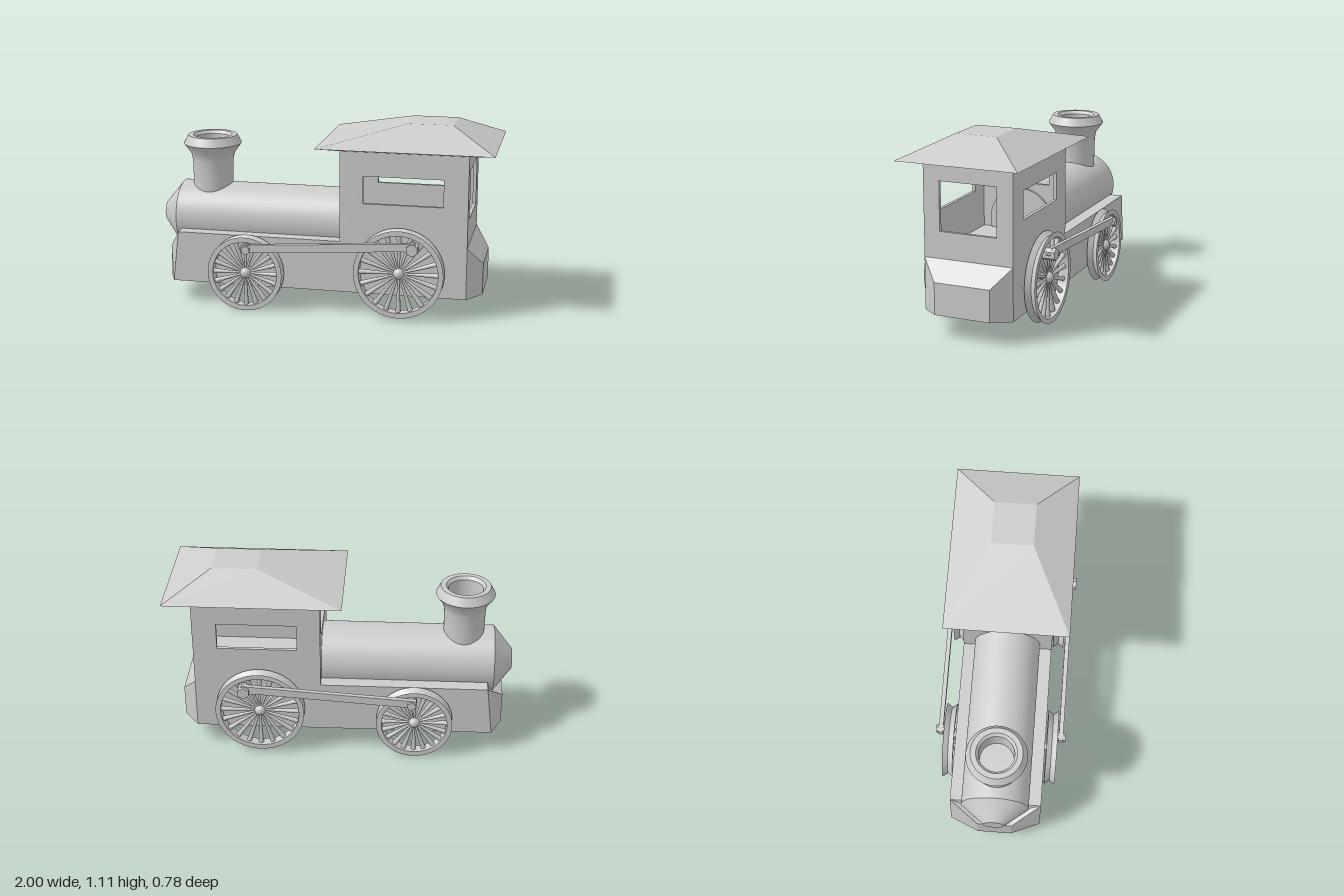
import * as THREE from 'three';
import { toCreasedNormals } from 'three/addons/utils/BufferGeometryUtils.js';

const smooth = new THREE.MeshStandardMaterial({ color: 0xcccccc });
const flat = new THREE.MeshStandardMaterial({ color: 0xcccccc, flatShading: true });

function add(parent, name, geometry, material = smooth, x = 0, y = 0, z = 0) {
  const mesh = new THREE.Mesh(geometry, material);
  mesh.name = name;
  mesh.position.set(x, y, z);
  parent.add(mesh);
  return mesh;
}

// Closed solid through rings of equal point count, with end caps
function loft(rings) {
  const n = rings[0].length, pos = [];
  const tri = (a, b, c) => pos.push(...a, ...b, ...c);
  for (let k = 0; k < rings.length - 1; k++) {
    const a = rings[k], b = rings[k + 1];
    for (let i = 0; i < n; i++) {
      const j = (i + 1) % n;
      tri(a[i], a[j], b[j]);
      tri(a[i], b[j], b[i]);
    }
  }
  const first = rings[0], last = rings[rings.length - 1];
  for (let i = 1; i < n - 1; i++) {
    tri(first[0], first[i + 1], first[i]);
    tri(last[0], last[i], last[i + 1]);
  }
  const g = new THREE.BufferGeometry();
  g.setAttribute('position', new THREE.Float32BufferAttribute(pos, 3));
  g.computeVertexNormals();
  return g;
}

const lathe = (points, segments = 48) => toCreasedNormals(
  new THREE.LatheGeometry(points.map(p => new THREE.Vector2(...p)), segments), 0.55);

// Chassis cross-section: bottom corners, top corners and the middle of the top
const section = (xb, yb, xt, yt, w, xm, ym, wm) => [
  [xb, yb, w], [xb, yb, -w], [xt, yt, -w], [xm, ym, -wm], [xm, ym, wm], [xt, yt, w]];

// Wall panel with a window, given as [x0, y0, x1, y1]
function wall([x0, y0, x1, y1], [a0, b0, a1, b1], depth) {
  const corners = (p, q, r, s) => [[p, q], [r, q], [r, s], [p, s]].map(c => new THREE.Vector2(...c));
  const shape = new THREE.Shape(corners(x0, y0, x1, y1));
  shape.holes.push(new THREE.Path(corners(a0, b0, a1, b1)));
  return new THREE.ExtrudeGeometry(shape, { depth, bevelEnabled: false });
}

// Spoked wheel with a grooved rim, axis along z
function wheel(name, r) {
  const group = new THREE.Group();
  group.name = name;
  const ri = r - 0.03, h = 0.031;
  add(group, 'rim', lathe([[ri, -h], [r, -h], [r - 0.022, 0], [r, h], [ri, h], [ri, -h]]).rotateX(Math.PI / 2));
  add(group, 'hub', new THREE.SphereGeometry(0.033, 20, 14));
  const spoke = new THREE.CylinderGeometry(0.015, 0.005, ri - 0.01, 10).translate(0, (ri + 0.018) / 2, 0);
  const count = 20;
  for (let i = 0; i < count; i++) {
    add(group, 'spoke', spoke).rotation.z = (i / count) * Math.PI * 2;
  }
  return group;
}

export function createModel() {
  const model = new THREE.Group();
  model.name = 'locomotive';

  // Chassis with tapered front and rear ends
  const deck = 0.438, half = 0.265;
  add(model, 'chassis', loft([
    section(-0.955, 0.108, -0.955, 0.30, 0.1, -0.955, 0.30, 0.1),
    section(-0.89, 0.137, -0.855, deck, half, -0.88, 0.345, 0.1),
    section(-0.89, 0.137, -0.855, deck, half, -0.855, deck, 0.1),
    section(0.85, 0.134, 0.85, deck, half, 0.85, deck, 0.1),
    section(0.935, 0.142, 0.935, 0.327, 0.165, 0.935, 0.327, 0.1),
  ]), flat);

  // Boiler with conical nose
  add(model, 'boiler', lathe([[0, -1], [0.06, -1], [0.195, -0.89], [0.195, 0.15], [0, 0.15]], 64)
    .rotateZ(-Math.PI / 2), smooth, 0, 0.494, 0);

  // Chimney with flared, hollow top
  add(model, 'chimney', lathe([
    [0, 0.6], [0.117, 0.6], [0.119, 0.72], [0.121, 0.83], [0.13, 0.87], [0.172, 0.928],
    [0.145, 0.978], [0.115, 0.978], [0.1, 0.96], [0.096, 0.84], [0, 0.84]]), smooth, -0.71, 0, 0);

  // Cab walls
  const t = 0.02, x0 = 0.115, x1 = 0.85, top = 0.972;
  const side = wall([x0, deck, x1, top], [0.25, 0.67, 0.71, 0.83], t);
  add(model, 'leftCabWall', side, flat, 0, 0, half - t);
  add(model, 'rightCabWall', side, flat, 0, 0, -half);
  const inner = half - t;
  const ends = [
    ['frontCabWall', x0, 0.72],
    ['rearCabWall', x1 - t, 0.592],
  ];
  for (const [name, x, sill] of ends) {
    const g = wall([-inner, deck, inner, top], [-0.17, sill, 0.17, 0.872], t).rotateY(Math.PI / 2);
    add(model, name, g, flat, x);
  }

  // Hipped roof
  const rect = (a, b, y, w) => [[a, y, w], [b, y, w], [b, y, -w], [a, y, -w]];
  add(model, 'roof', loft([
    rect(x0, x1, 0.97, half), rect(-0.012, 1, 0.995, 0.36), rect(0.48, 0.74, 1.115, 0.122)]), flat);

  // Wheels, connecting rods and pins on both sides
  const wheels = [['frontWheel', -0.435, 0.226, 0.222], ['rearWheel', 0.468, 0.28, 0.26]];
  const pins = [['frontPin', -0.415, 0.385, 0.026, 0.385], ['rearPin', 0.553, 0.445, 0.036, 0.391]];
  const rodShape = new THREE.Shape([
    [-0.445, 0.365], [-0.39, 0.368], [0.5, 0.43], [0.565, 0.42], [0.588, 0.448],
    [0.565, 0.482], [0.5, 0.476], [-0.39, 0.415], [-0.445, 0.41]].map(p => new THREE.Vector2(...p)));
  const rod = new THREE.ExtrudeGeometry(rodShape, { depth: 0.026, bevelEnabled: false });
  for (const s of [1, -1]) {
    const prefix = s > 0 ? 'left ' : 'right ';
    for (const [name, x, y, r] of wheels) {
      const w = wheel(prefix + name, r);
      w.position.set(x, y, s * 0.306);
      model.add(w);
      add(model, prefix + 'axle', new THREE.CylinderGeometry(0.018, 0.018, 0.05, 16).rotateX(Math.PI / 2),
        smooth, x, y, s * 0.28);
    }
    add(model, prefix + 'connectingRod', rod, flat, 0, 0, s > 0 ? 0.344 : -0.37);
    for (const [name, x, y, r, reach] of pins) {
      const length = reach - 0.32;
      add(model, prefix + name, new THREE.CylinderGeometry(r, r, length, 6).rotateX(Math.PI / 2),
        flat, x, y, s * (0.32 + length / 2));
    }
  }
  return model;
}
